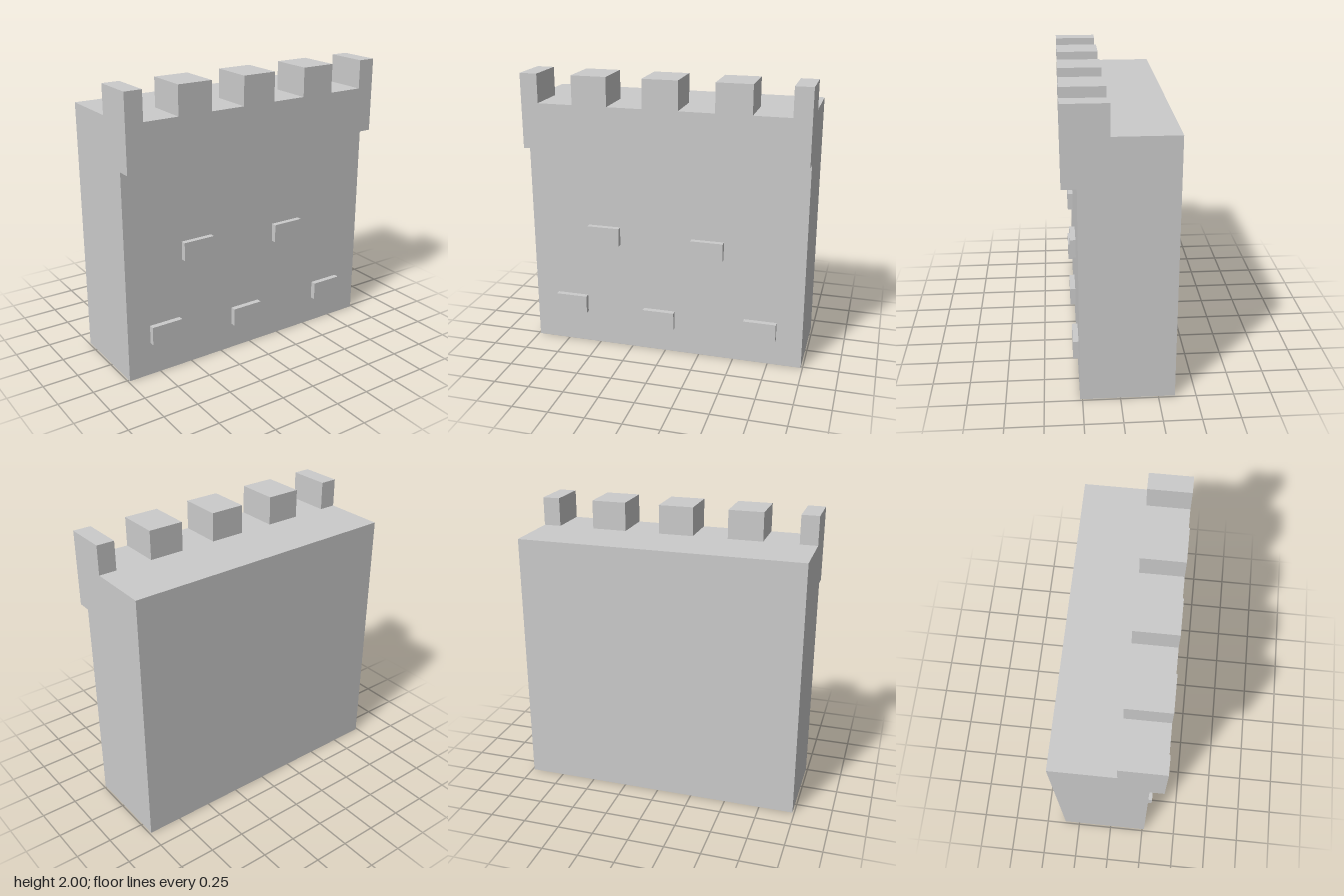
import * as THREE from 'three';

const WIDTH = 1.975;
const TOP = 1.8; // walkway height
const FRONT = 0.36; // front of the overhanging parapet
const FACE = 0.265; // front of the wall below the parapet

export function createModel() {
  const group = new THREE.Group();
  const material = new THREE.MeshStandardMaterial({ color: 0xcccccc, flatShading: true });

  // Box given by its centre in x and its extents in y and z
  const addBox = (name, x, width, y0, y1, z0, z1) => {
    const mesh = new THREE.Mesh(new THREE.BoxGeometry(width, y1 - y0, z1 - z0), material);
    mesh.position.set(x, (y0 + y1) / 2, (z0 + z1) / 2);
    mesh.name = name;
    group.add(mesh);
  };

  // Wall with overhanging parapet: side profile (z, y) extruded along x
  const profile = new THREE.Shape([
    [-0.36, 0], [FACE, 0], [FACE, 1.48], [FRONT, 1.48], [FRONT, TOP], [-0.36, TOP],
  ].map(([z, y]) => new THREE.Vector2(z, y)));
  const wallGeometry = new THREE.ExtrudeGeometry(profile, { depth: WIDTH, bevelEnabled: false });
  wallGeometry.translate(0, 0, -WIDTH / 2).rotateY(-Math.PI / 2);
  const wall = new THREE.Mesh(wallGeometry, material);
  wall.name = 'wall';
  group.add(wall);

  // Battlements: three full merlons and a half one at each end
  const merlon = 0.245;
  for (let i = -2; i <= 2; i++) {
    const end = Math.abs(i) === 2;
    const width = end ? merlon / 2 : merlon;
    const x = end ? Math.sign(i) * (WIDTH - width) / 2 : i * 0.492 - 0.005;
    addBox('merlon', x, width, TOP, 2, 0.065, FRONT);
  }

  // Raised stones on the front face
  const stones = [[-0.445, 0.857], [0.305, 0.82], [-0.705, 0.305], [-0.045, 0.253], [0.69, 0.26]];
  for (const [x, y] of stones) {
    addBox('raisedStone', x, 0.23, y - 0.065, y + 0.065, FACE, 0.303);
  }

  return group;
}
